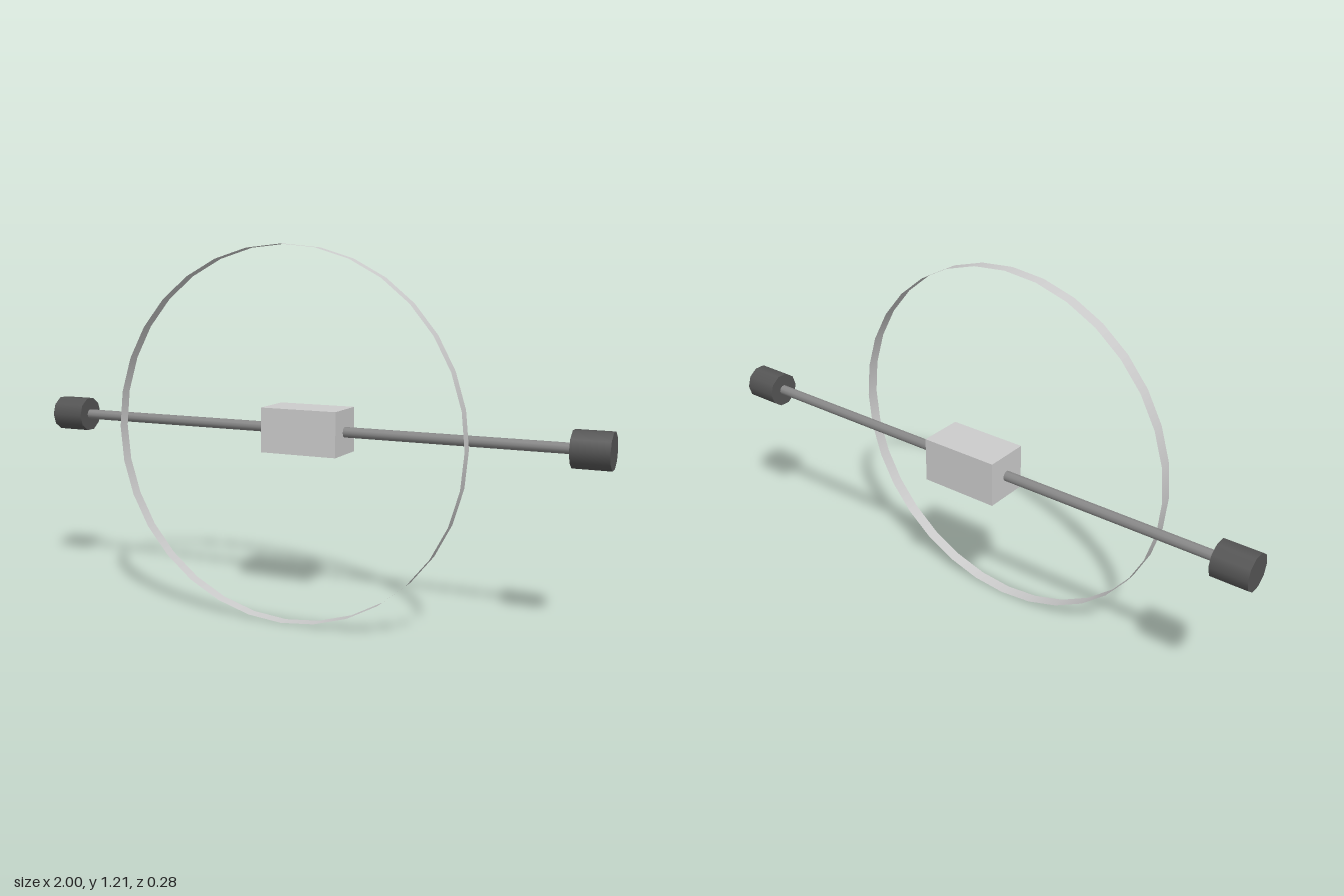
import * as THREE from 'three';

const CENTRE_Y = 0.607; // shared height of ring, bar and body
const BAR_Z = -0.063;   // depth of the bar axis

export function createModel() {
  const model = new THREE.Group();
  model.name = 'balanceBarWithRing';

  const grey = new THREE.MeshStandardMaterial({ color: 0xcccccc });
  const band = new THREE.MeshStandardMaterial({ color: 0xcccccc, side: THREE.DoubleSide });
  const barGrey = new THREE.MeshStandardMaterial({ color: 0x888888 });
  const darkGrey = new THREE.MeshStandardMaterial({ color: 0x555555 });

  const add = (name, geometry, material, x, z) => {
    const mesh = new THREE.Mesh(geometry, material);
    mesh.name = name;
    mesh.position.set(x, CENTRE_Y, z);
    model.add(mesh);
    return mesh;
  };

  // Ten-sided cylinder lying along x
  const rod = (radius, length) =>
    new THREE.CylinderGeometry(radius, radius, length, 10).rotateZ(Math.PI / 2);

  // Thin open hoop in front of the bar
  const hoop = new THREE.CylinderGeometry(0.607, 0.607, 0.042, 32, 1, true).rotateX(Math.PI / 2);
  add('ring', hoop, band, 0, 0.118);

  // Central block and the bar running through it
  add('body', new THREE.BoxGeometry(0.27, 0.15, 0.152), grey, 0, BAR_Z);
  add('bar', rod(0.0175, 1.78), barGrey, 0, BAR_Z);

  // End weights
  for (const side of [-1, 1]) {
    add(side > 0 ? 'leftWeight' : 'rightWeight', rod(0.06, 0.12), darkGrey, side * 0.94, BAR_Z);
  }

  return model;
}
